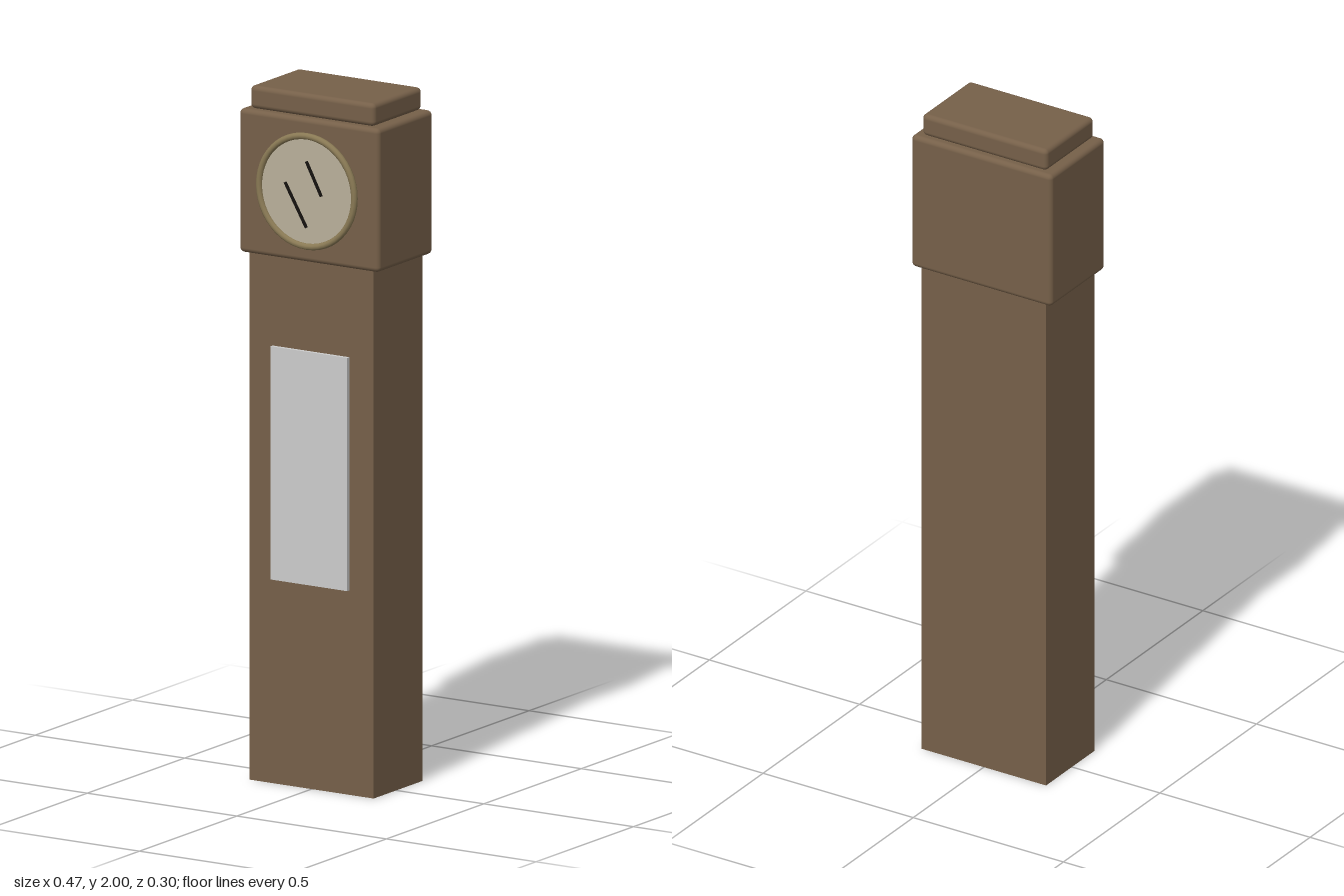
import * as THREE from 'three';
import { RoundedBoxGeometry } from 'three/addons/geometries/RoundedBoxGeometry.js';

const mat = (color) => new THREE.MeshStandardMaterial({ color });

export function createModel() {
  const group = new THREE.Group();
  const wood = mat(0x766049);
  const brass = mat(0x8a7a55);
  const ivory = mat(0xb9b09a);
  const glass = mat(0xc8cccb);
  const black = mat(0x15120f);
  const caseZ = -0.009;
  const dialY = 1.727;

  const add = (name, geometry, material, x, y, z) => {
    const mesh = new THREE.Mesh(geometry, material);
    mesh.name = name;
    mesh.position.set(x, y, z);
    group.add(mesh);
    return mesh;
  };

  // Case: tall trunk, wider hood and a top cap
  add('trunk', new THREE.BoxGeometry(0.414, 1.53, 0.25), wood, 0, 0.765, caseZ);
  add('hood', new RoundedBoxGeometry(0.468, 0.414, 0.282, 3, 0.014), wood, 0, 1.727, caseZ);
  add('cap', new RoundedBoxGeometry(0.416, 0.066, 0.25, 3, 0.014), wood, 0, 1.967, caseZ);

  // Glass panel in the trunk
  add('trunkWindow', new THREE.BoxGeometry(0.256, 0.672, 0.012), glass, -0.002, 0.925, 0.121);

  // Dial with its brass rim
  const face = new THREE.CylinderGeometry(0.159, 0.159, 0.012, 48).rotateX(Math.PI / 2);
  add('dialFace', face, ivory, 0, dialY, 0.135);
  add('dialRim', new THREE.TorusGeometry(0.159, 0.0095, 10, 48), brass, 0, dialY, 0.1405);

  // Hands, each a thin bar between two points on the dial
  const hands = [
    ['hourHand', 0, 1.814, 0.05, 1.719],
    ['minuteHand', -0.071, 1.745, 0, 1.623],
  ];
  for (const [name, x1, y1, x2, y2] of hands) {
    const length = Math.hypot(x2 - x1, y2 - y1);
    const bar = new THREE.BoxGeometry(length, 0.008, 0.005);
    const hand = add(name, bar, black, (x1 + x2) / 2, (y1 + y2) / 2, 0.143);
    hand.rotation.z = Math.atan2(y2 - y1, x2 - x1);
  }
  return group;
}
